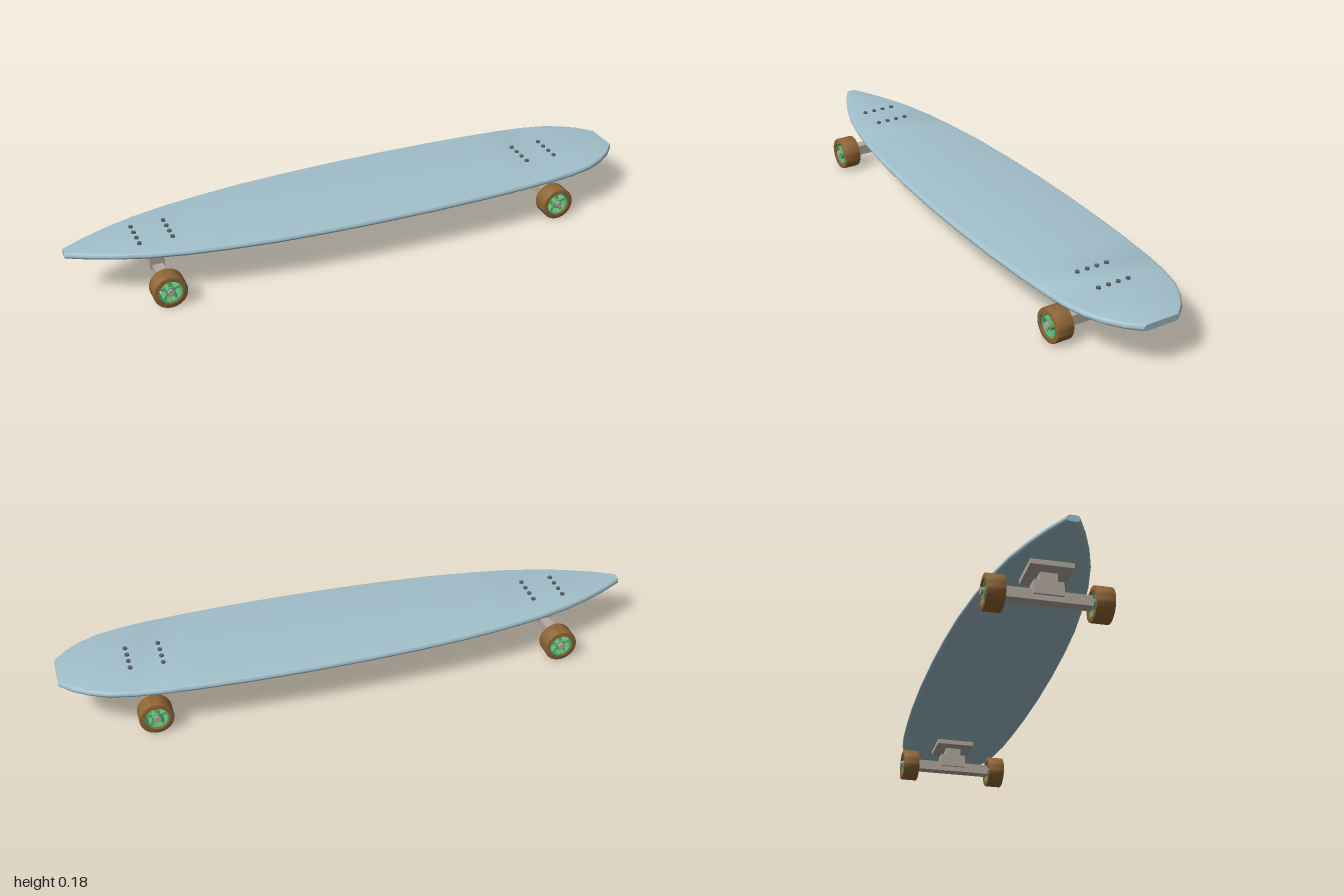
import * as THREE from 'three';
import { toCreasedNormals } from 'three/addons/utils/BufferGeometryUtils.js';

const mat = (name, color) => {
  const m = new THREE.MeshStandardMaterial({ color });
  m.name = name;
  return m;
};

function add(parent, name, geometry, material, x = 0, y = 0, z = 0) {
  const mesh = new THREE.Mesh(geometry, material);
  mesh.name = name;
  mesh.position.set(x, y, z);
  parent.add(mesh);
  return mesh;
}

// Deck: a rounded slab section swept along x, capped flat at both ends
function deckGeometry() {
  const stations = [
    [-1, 0.02], [-0.93, 0.057], [-0.85, 0.092], [-0.75, 0.127], [-0.63, 0.156], [-0.5, 0.178],
    [-0.34, 0.198], [-0.17, 0.21], [0, 0.217], [0.2, 0.22], [0.4, 0.217], [0.55, 0.21],
    [0.68, 0.201], [0.77, 0.189], [0.85, 0.17], [0.91, 0.142], [0.96, 0.107], [1, 0.064],
  ];
  const r = 0.0108, midY = 0.162, steps = 8, n = 2 * (steps + 1);
  const pos = [], index = [];
  for (const [x, w] of stations) {
    for (const side of [1, -1]) {
      for (let i = 0; i <= steps; i++) {
        const a = Math.PI / 2 - (Math.PI * i) / steps;
        pos.push(x, midY + side * r * Math.sin(a), side * (w - r + r * Math.cos(a)));
      }
    }
  }
  for (let s = 0; s < stations.length - 1; s++) {
    for (let i = 0; i < n; i++) {
      const a = s * n + i, b = s * n + ((i + 1) % n);
      index.push(a, b, a + n, b, b + n, a + n);
    }
  }
  const last = (stations.length - 1) * n;
  for (let i = 1; i < n - 1; i++) {
    index.push(0, i + 1, i);
    index.push(last, last + i, last + i + 1);
  }
  const g = new THREE.BufferGeometry();
  g.setAttribute('position', new THREE.Float32BufferAttribute(pos, 3));
  g.setIndex(index);
  return toCreasedNormals(g, 0.6);
}

// Lathe around z from [radius, z] points
function latheZ(points) {
  const g = new THREE.LatheGeometry(points.map(([r, z]) => new THREE.Vector2(r, z)), 40);
  return toCreasedNormals(g.rotateX(Math.PI / 2), 0.6);
}

const cylinderZ = (r, len, sides = 24) =>
  new THREE.CylinderGeometry(r, r, len, sides).rotateX(Math.PI / 2);

export function createModel() {
  const deckBlue = mat('deck blue', 0xa2c0cb);
  const metal = mat('truck metal', 0xb4aba0);
  const tyreBrown = mat('wheel brown', 0x8e6535);
  const hubGreen = mat('hub green', 0x5cb573);
  const boltGrey = mat('bolt grey', 0x5c6067);

  const model = new THREE.Group();
  model.name = 'longboard';
  add(model, 'deck', deckGeometry(), deckBlue);

  // Hollow tyre and rim profiles, closed loops
  const tyreGeo = latheZ([
    [0.041, -0.03], [0.054, -0.03], [0.0565, -0.029], [0.0575, -0.026],
    [0.0575, 0.026], [0.0565, 0.029], [0.054, 0.03], [0.041, 0.03], [0.041, -0.03],
  ]);
  const rimGeo = latheZ([
    [0.037, -0.024], [0.041, -0.024], [0.041, 0.024], [0.037, 0.024], [0.037, -0.024],
  ]);
  const hubGeo = cylinderZ(0.016, 0.054);
  const spokeGeo = new THREE.BoxGeometry(0.026, 0.008, 0.036).translate(0.026, 0, 0);
  const nutGeo = cylinderZ(0.0125, 0.009, 6);
  const boltGeo = new THREE.CylinderGeometry(0.0075, 0.0075, 0.008, 12);

  for (const end of [-1, 1]) {
    const truck = new THREE.Group();
    truck.name = end < 0 ? 'noseTruck' : 'tailTruck';
    truck.position.x = end * 0.71;
    model.add(truck);

    // Stack of blocks from deck to axle
    add(truck, 'baseplate', new THREE.BoxGeometry(0.134, 0.017, 0.138), metal, 0, 0.1427);
    add(truck, 'neck', new THREE.BoxGeometry(0.05, 0.03, 0.056), metal, 0, 0.1205);
    add(truck, 'hanger', new THREE.BoxGeometry(0.05, 0.047, 0.096), metal, 0, 0.0835);
    add(truck, 'axleBeam', new THREE.BoxGeometry(0.036, 0.036, 0.278), metal, 0, 0.0595);
    add(truck, 'axle', cylinderZ(0.007, 0.398, 16), metal, 0, 0.0595);

    // Mounting bolts through the deck
    for (const x of [-0.055, 0.055]) {
      for (const z of [-0.055, -0.018, 0.018, 0.055]) {
        add(truck, 'mountingBolt', boltGeo, boltGrey, x, 0.1745, z);
      }
    }

    // Wheels with five-spoke hubs
    for (const side of [-1, 1]) {
      const wheel = new THREE.Group();
      wheel.name = side > 0 ? 'frontWheel' : 'backWheel';
      wheel.position.set(0, 0.0575, side * 0.168);
      truck.add(wheel);
      add(wheel, 'tyre', tyreGeo, tyreBrown);
      add(wheel, 'rim', rimGeo, hubGreen);
      add(wheel, 'hub', hubGeo, hubGreen);
      for (let i = 0; i < 5; i++) {
        add(wheel, 'spoke', spokeGeo, hubGreen).rotation.z = Math.PI / 2 + (i * Math.PI * 2) / 5;
      }
      add(wheel, 'axleNut', nutGeo, metal, 0, 0.002, side * 0.0325);
    }
  }
  return model;
}
